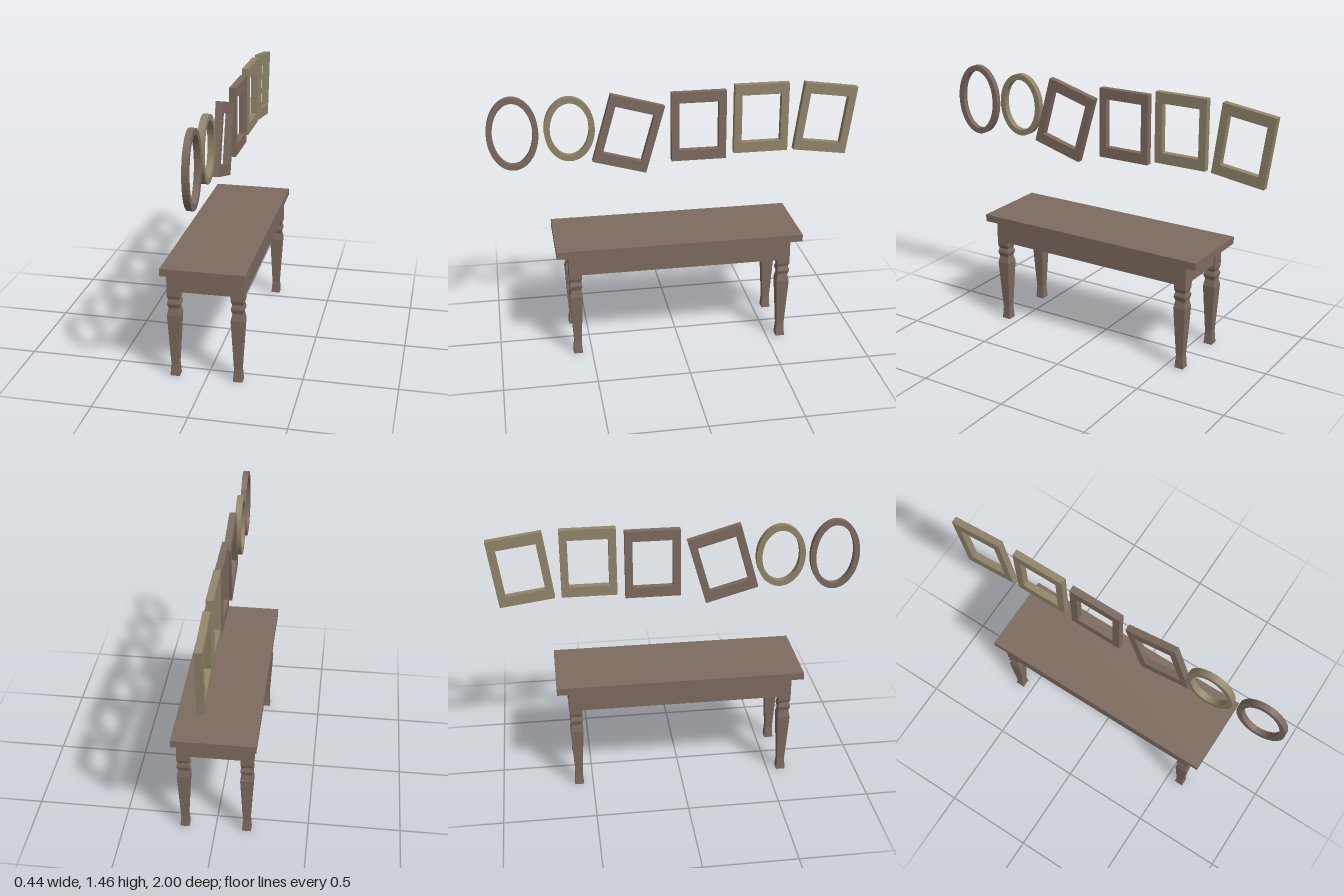
import * as THREE from 'three';
import { toCreasedNormals } from 'three/addons/utils/BufferGeometryUtils.js';

export function createModel() {
  const group = new THREE.Group();
  const brown = new THREE.MeshStandardMaterial({ color: 0x7d6b60 });
  brown.name = 'brown wood';
  const olive = new THREE.MeshStandardMaterial({ color: 0x91856b });
  olive.name = 'olive wood';

  function add(name, geometry, material, x, y, z) {
    const mesh = new THREE.Mesh(geometry, material);
    mesh.name = name;
    mesh.position.set(x, y, z);
    group.add(mesh);
    return mesh;
  }

  // Table top
  add('tableTop', new THREE.BoxGeometry(0.444, 0.04, 1.35), brown, 0, 0.622, 0);

  // Square turned legs: [half width, height]
  const profile = [
    [0, 0], [0.025, 0], [0.02, 0.07], [0.035, 0.355], [0.027, 0.395],
    [0.034, 0.417], [0.034, 0.425], [0.028, 0.445], [0.0345, 0.465], [0.0345, 0.602],
  ].map(([w, y]) => new THREE.Vector2(w * Math.SQRT2, y));
  const legGeometry = new THREE.LatheGeometry(profile, 4, Math.PI / 4).toNonIndexed();
  legGeometry.computeVertexNormals();
  const legX = 0.169, legZ = 0.577;
  for (const sx of [-1, 1]) {
    for (const sz of [-1, 1]) add('leg', legGeometry, brown, sx * legX, 0, sz * legZ);
  }

  // Aprons: long ones flush with the legs, short ones set back
  for (const s of [-1, 1]) {
    add('longApron', new THREE.BoxGeometry(0.025, 0.113, 1.09), brown, s * 0.191, 0.5455, 0);
    add('shortApron', new THREE.BoxGeometry(0.272, 0.113, 0.025), brown, 0, 0.5455, s * 0.59);
  }

  // Hanging frames face +x; tilt is clockwise as seen from that side
  function addFrame(name, shape, depth, material, x, y, z, tilt = 0) {
    const geometry = toCreasedNormals(
      new THREE.ExtrudeGeometry(shape, { depth, bevelEnabled: false, curveSegments: 48 }), 0.6);
    add(name, geometry, material, x, y, z).rotation.set(0, Math.PI / 2, -tilt);
  }

  function rectangle(w, h) {
    return [[-w, -h], [w, -h], [w, h], [-w, h]].map(([a, b]) => new THREE.Vector2(a / 2, b / 2));
  }

  function rectFrame(w, h, side, end) {
    const shape = new THREE.Shape(rectangle(w, h));
    shape.holes.push(new THREE.Path(rectangle(w - 2 * side, h - 2 * end)));
    return shape;
  }

  function ovalFrame(rx, ry, wall) {
    const shape = new THREE.Shape().absellipse(0, 0, rx, ry, 0, Math.PI * 2, false);
    shape.holes.push(new THREE.Path().absellipse(0, 0, rx - wall, ry - wall, 0, Math.PI * 2, true));
    return shape;
  }

  // Oval frames
  addFrame('tallOvalFrame', ovalFrame(0.136, 0.2, 0.031), 0.032, brown, -0.013, 1.245, 0.864);
  addFrame('smallOvalFrame', ovalFrame(0.134, 0.176, 0.031), 0.035, olive, -0.016, 1.255, 0.565);

  // Rectangular frames
  const frame = rectFrame(0.298, 0.382, 0.041, 0.058);
  const depth = 0.037;
  addFrame('tiltedBrownFrame', frame, depth, brown, 0, 1.217, 0.254, 0.276);
  addFrame('straightBrownFrame', frame, depth, brown, 0, 1.24, -0.126);
  addFrame('straightOliveFrame', frame, depth, olive, 0, 1.265, -0.468);
  addFrame('tiltedOliveFrame', frame, depth, olive, 0, 1.243, -0.826, 0.138);

  return group;
}
